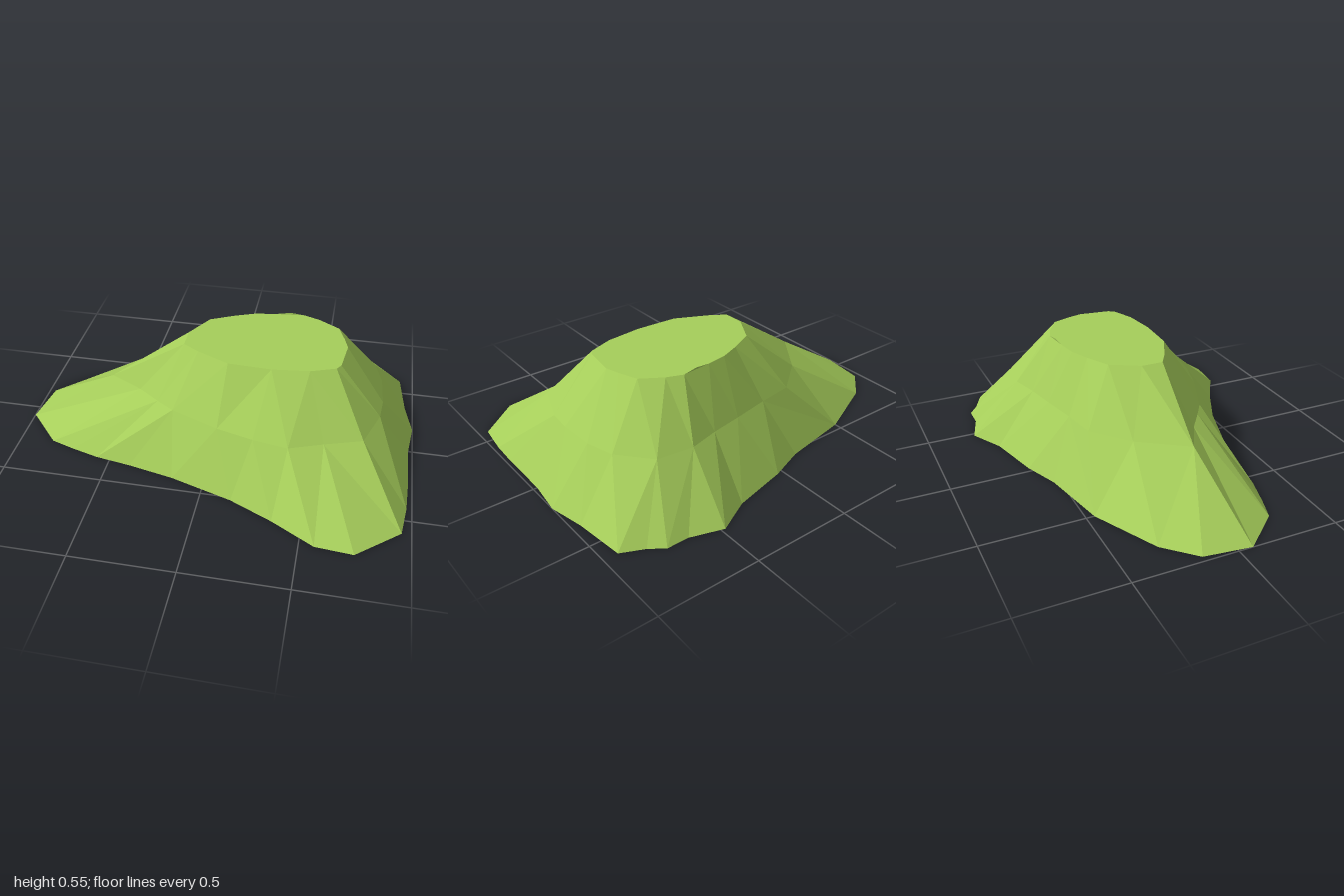
import * as THREE from 'three';

// Contour rings as [x, z] pairs, running from the left tip round the back, right and front
const BASE = [
  [-1, 0.07], [-0.97, -0.16], [-0.83, -0.3], [-0.5, -0.46], [-0.15, -0.53], [0.03, -0.6],
  [0.31, -0.67], [0.48, -0.76], [0.64, -0.71], [0.75, -0.71], [0.82, -0.66], [0.93, -0.61],
  [0.96, -0.36], [1, -0.18], [0.98, 0], [0.98, 0.28], [0.975, 0.42], [0.955, 0.585],
  [0.75, 0.755], [0.57, 0.74], [0.36, 0.62], [0.15, 0.52], [-0.16, 0.42], [-0.39, 0.37],
  [-0.57, 0.34], [-0.71, 0.3], [-0.83, 0.26],
];
const MIDDLE = [
  [-0.56, 0.01], [-0.4, -0.22], [-0.22, -0.37], [-0.04, -0.4], [0.15, -0.44], [0.31, -0.47],
  [0.46, -0.51], [0.64, -0.49], [0.77, -0.34], [0.81, -0.2], [0.82, -0.02], [0.81, 0.1],
  [0.74, 0.3], [0.56, 0.36], [0.4, 0.42], [0.23, 0.39], [0.05, 0.34], [-0.19, 0.24],
  [-0.28, 0.18], [-0.39, 0.1],
];
const TOP = [
  [-0.17, -0.07], [-0.09, -0.21], [0.03, -0.27], [0.13, -0.31], [0.23, -0.325], [0.38, -0.34],
  [0.46, -0.31], [0.565, -0.245], [0.6, -0.15], [0.62, -0.08], [0.6, 0.08], [0.58, 0.11],
  [0.46, 0.155], [0.28, 0.175], [0.07, 0.165], [-0.09, 0.09], [-0.17, 0.04],
];
const CENTRE = [0.25, -0.05];
const HEIGHT = 0.54;

const raise = (ring, y) => ring.map(([x, z]) => [x, y, z]);

// Angle travelled from the first point of a ring to each later one, closing at a full turn
function sweep(ring) {
  const angles = ring.map(([x, , z]) => Math.atan2(z - CENTRE[1], x - CENTRE[0]));
  const turn = Math.PI * 2;
  return [...angles.map((a) => (a - angles[0] + turn) % turn), turn];
}

// Triangles joining two rings with different numbers of points
function stitch(lower, upper) {
  const a = sweep(lower), b = sweep(upper), out = [];
  let i = 0, j = 0;
  while (i < lower.length || j < upper.length) {
    const l = lower[i % lower.length], u = upper[j % upper.length];
    if (j === upper.length || (i < lower.length && a[i + 1] <= b[j + 1])) {
      out.push(lower[++i % lower.length], l, u);
    } else {
      out.push(l, u, upper[++j % upper.length]);
    }
  }
  return out;
}

function facets(name, points, material) {
  const geometry = new THREE.BufferGeometry();
  geometry.setAttribute('position', new THREE.Float32BufferAttribute(points.flat(), 3));
  geometry.computeVertexNormals();
  const mesh = new THREE.Mesh(geometry, material);
  mesh.name = name;
  return mesh;
}

export function createModel() {
  const group = new THREE.Group();
  group.name = 'hill';
  const grass = new THREE.MeshStandardMaterial({
    name: 'grass green', color: 0xa6ce5a, flatShading: true, side: THREE.DoubleSide,
  });

  const base = raise(BASE, 0);
  const middle = raise(MIDDLE, 0.28);
  const top = raise(TOP, HEIGHT);

  // Slopes, open underneath
  group.add(facets('lowerSlope', stitch(base, middle), grass));
  group.add(facets('upperSlope', stitch(middle, top), grass));

  // Flat plateau
  const hub = [CENTRE[0], HEIGHT, CENTRE[1]];
  group.add(facets('plateau', top.flatMap((p, i) => [hub, top[(i + 1) % top.length], p]), grass));

  // Small lip standing above the back rim
  const [r0, r1] = [top[4], top[5]];
  const peak = [0.31, HEIGHT + 0.01, -0.335];
  group.add(facets('backLip', [r1, r0, peak], grass));

  return group;
}
